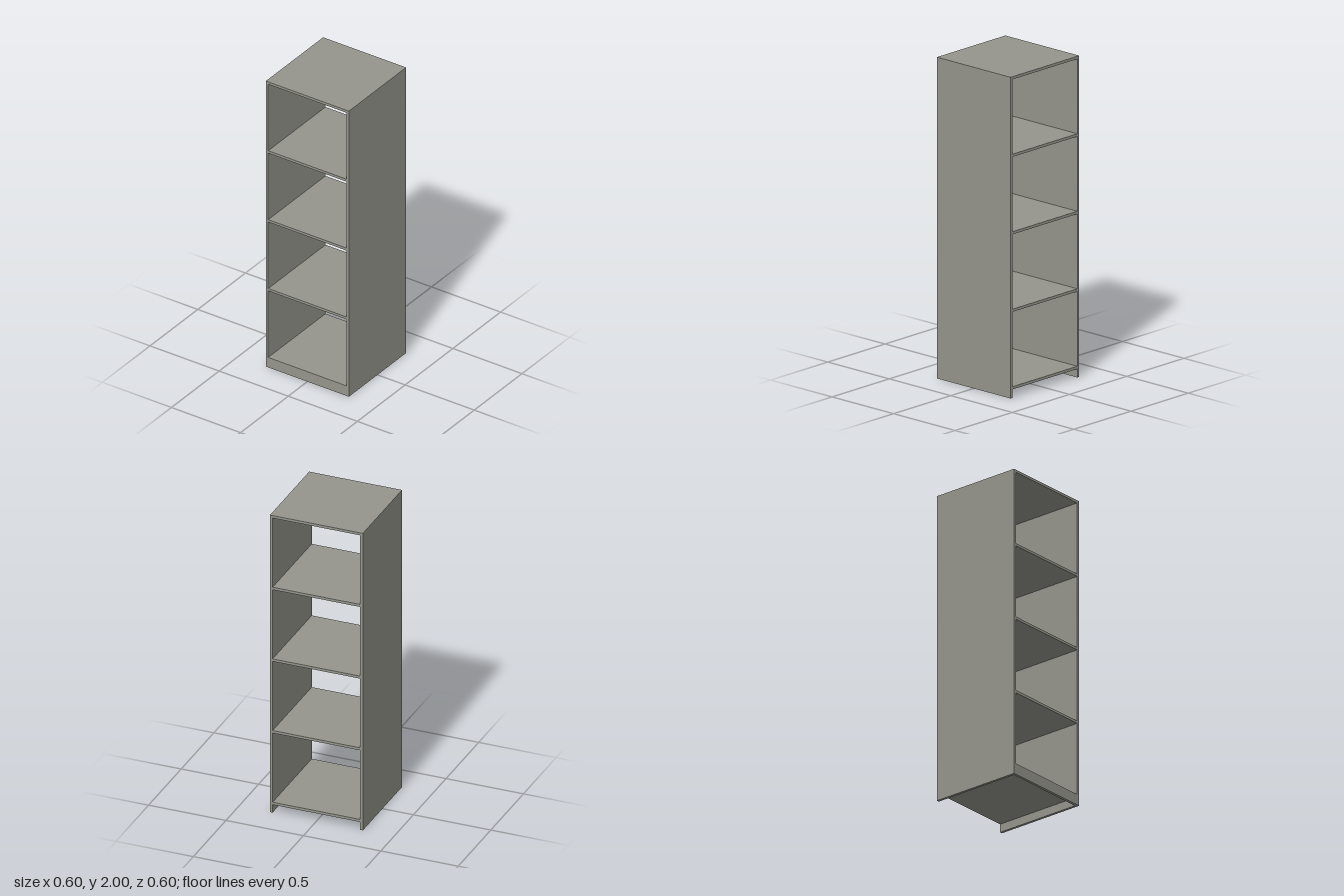
import * as THREE from 'three';

const W = 0.6, D = 0.6, H = 2, T = 0.017; // overall size and board thickness
const FLOOR = 0.07;                       // top of the lowest shelf
const BAYS = 4;

export function createModel() {
  const group = new THREE.Group();
  const paint = new THREE.MeshStandardMaterial({ color: 0x95958d });
  paint.name = 'warmGrey';

  const board = (name, w, h, d, x, y, z) => {
    const mesh = new THREE.Mesh(new THREE.BoxGeometry(w, h, d), paint);
    mesh.name = name;
    mesh.position.set(x, y, z);
    group.add(mesh);
  };

  // Side panels run the full height
  for (const [name, s] of [['leftSide', 1], ['rightSide', -1]]) {
    board(name, T, H, D, s * (W - T) / 2, H / 2, 0);
  }

  // Evenly spaced boards between the sides, from floor to top
  const inner = W - 2 * T;
  const pitch = (H - FLOOR) / BAYS;
  for (let i = 0; i <= BAYS; i++) {
    const name = i === 0 ? 'bottomBoard' : i === BAYS ? 'topBoard' : `shelf${i}`;
    board(name, inner, T, D, 0, FLOOR + i * pitch - T / 2, 0);
  }

  // Plinth closes the gap under the bottom board at the front only
  const plinthH = FLOOR - T;
  board('plinth', inner, plinthH, T, 0, plinthH / 2, (D - T) / 2);

  return group;
}
